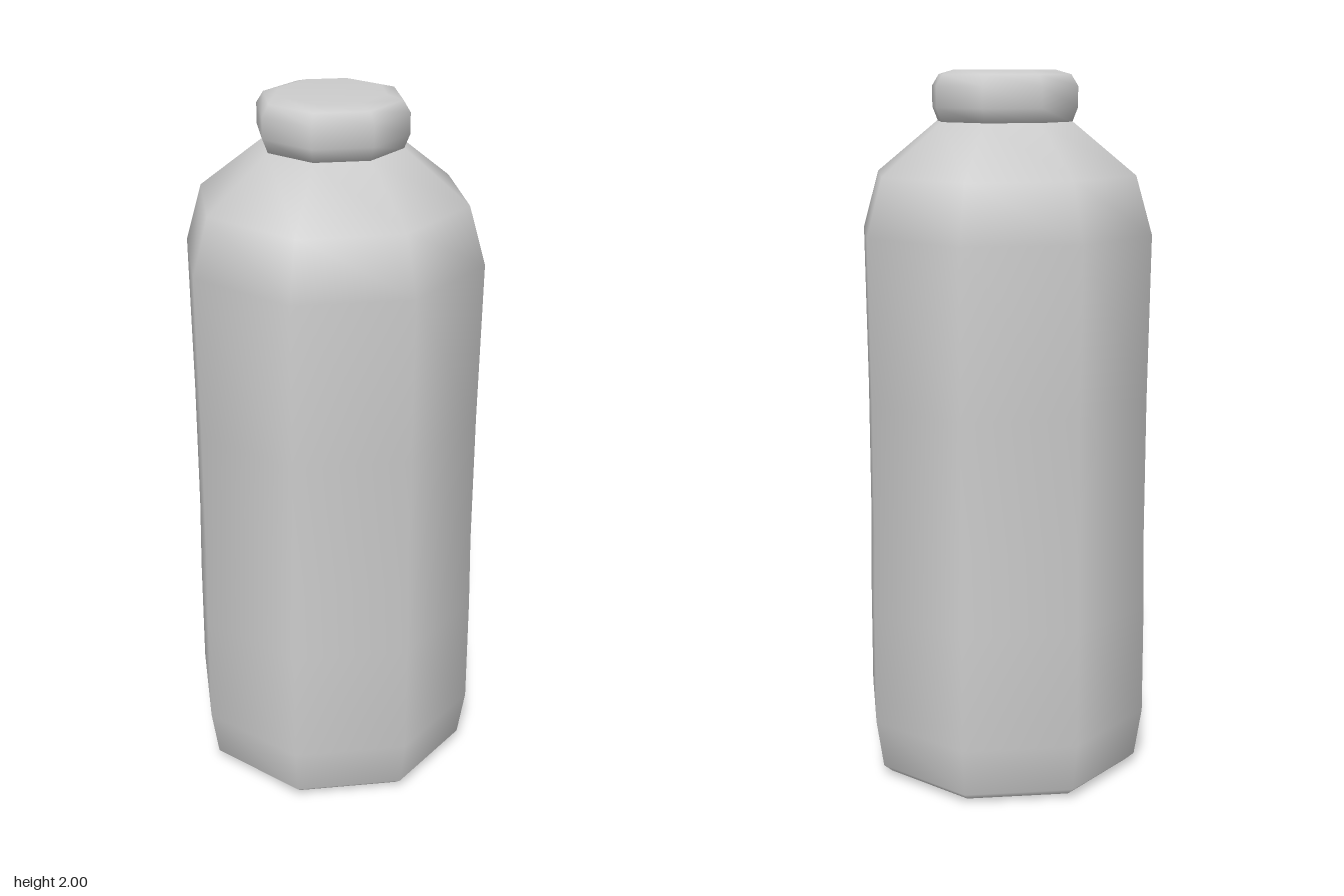
import * as THREE from 'three';

const SIDES = 8;
const material = new THREE.MeshStandardMaterial({ color: 0xcccccc });

// Turns a profile of [distance to flat side, height] into a smooth eight-sided solid
function octagonal(name, profile) {
  const points = profile.map(([r, y]) => new THREE.Vector2(r / Math.cos(Math.PI / SIDES), y));
  const mesh = new THREE.Mesh(new THREE.LatheGeometry(points, SIDES, Math.PI / SIDES), material);
  mesh.name = name;
  return mesh;
}

export function createModel() {
  const bottle = new THREE.Group();
  bottle.name = 'bottle';

  // Body: flat base, rounded heel, slightly waisted sides, sloping shoulder
  bottle.add(octagonal('body', [
    [0, 0], [0.325, 0], [0.345, 0.008], [0.368, 0.03], [0.388, 0.17], [0.387, 0.5],
    [0.383, 0.72], [0.383, 1.1], [0.388, 1.56], [0.345, 1.72], [0.18, 1.862], [0, 1.862],
  ]));

  // Cap: low rounded lid with a narrower underside
  bottle.add(octagonal('cap', [
    [0, 1.86], [0.178, 1.86], [0.193, 1.9], [0.193, 1.957], [0.175, 1.988], [0.135, 2], [0, 2],
  ]));

  return bottle;
}
